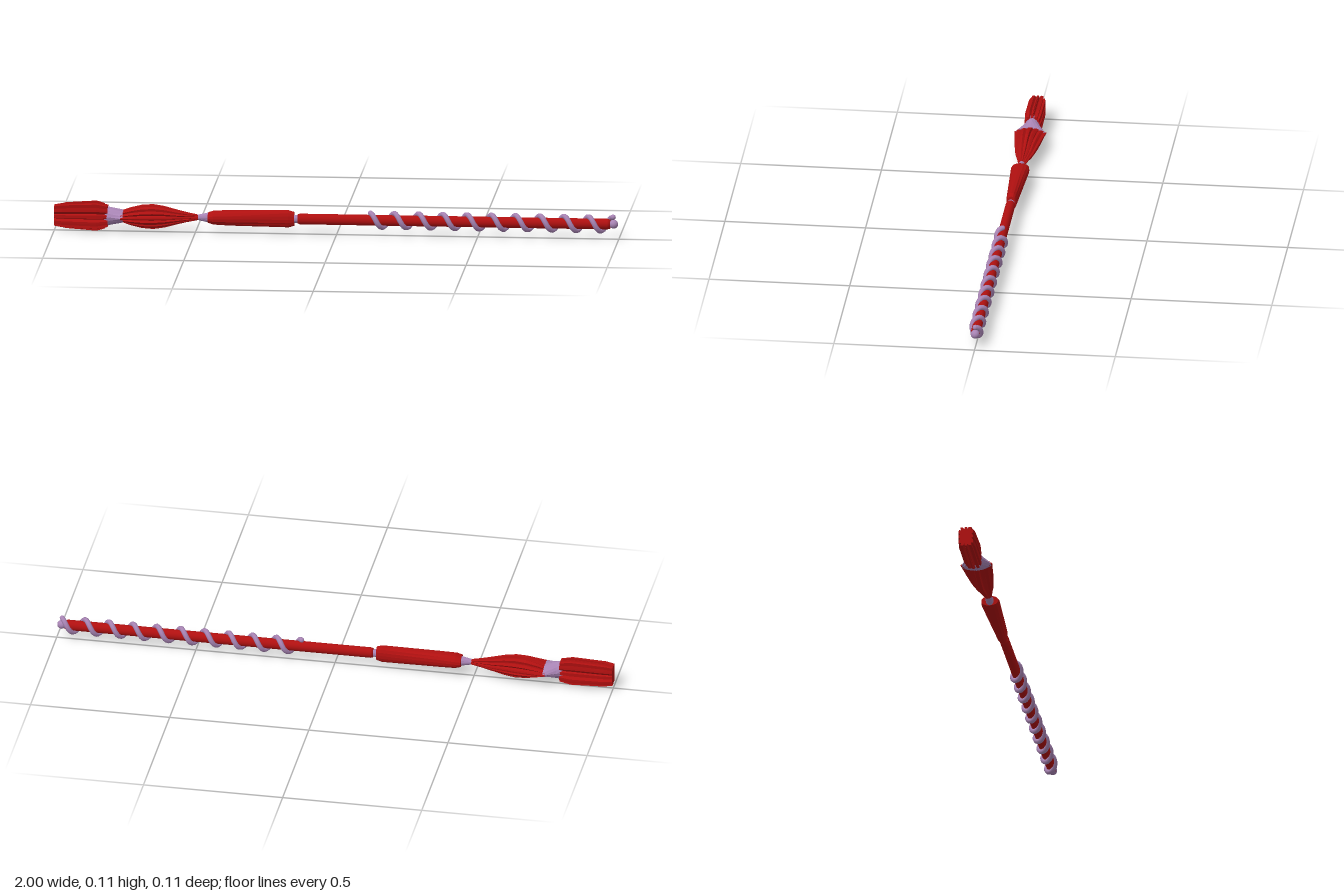
import * as THREE from 'three';
import { mergeVertices } from 'three/addons/utils/BufferGeometryUtils.js';

const red = new THREE.MeshStandardMaterial({ color: 0xb01010 });
const redFlat = new THREE.MeshStandardMaterial({ color: 0xb01010, flatShading: true });
const lilac = new THREE.MeshStandardMaterial({ color: 0xa884b4 });
const lilacFlat = new THREE.MeshStandardMaterial({ color: 0xa884b4, flatShading: true });

// Closed loft along +x. Rows are [x, half height, half depth];
// power 2 is an ellipse, larger is boxier, smaller is a pointed diamond.
function loft(rows, { sides = 48, power = 2, groove = 0 } = {}) {
  const pos = [], index = [];
  for (const [x, ry, rz] of rows) {
    for (let i = 0; i < sides; i++) {
      const a = (i / sides) * Math.PI * 2;
      const c = Math.cos(a), s = Math.sin(a);
      const k = Math.pow(Math.abs(c) ** power + Math.abs(s) ** power, -1 / power);
      const r = k * (i % 4 === 2 ? 1 - groove : 1);
      pos.push(x, c * r * ry, s * r * rz);
    }
  }
  for (let j = 0; j < rows.length - 1; j++) {
    for (let i = 0; i < sides; i++) {
      const n = (i + 1) % sides;
      const a = j * sides + i, b = j * sides + n;
      index.push(a, b, a + sides, b, b + sides, a + sides);
    }
  }
  // End caps
  const first = pos.length / 3, last = first + 1, top = (rows.length - 1) * sides;
  pos.push(rows[0][0], 0, 0, rows[rows.length - 1][0], 0, 0);
  for (let i = 0; i < sides; i++) {
    const n = (i + 1) % sides;
    index.push(first, n, i, last, top + i, top + n);
  }
  const g = new THREE.BufferGeometry();
  g.setAttribute('position', new THREE.Float32BufferAttribute(pos, 3));
  g.setIndex(index);
  const out = mergeVertices(g, 1e-6);
  out.computeVertexNormals();
  return out;
}

export function createModel() {
  const model = new THREE.Group();
  const shaft = new THREE.Group();
  shaft.name = 'staff';
  shaft.position.y = 0.054;
  model.add(shaft);
  const add = (name, geometry, material) => {
    const m = new THREE.Mesh(geometry, material);
    m.name = name;
    shaft.add(m);
    return m;
  };

  // Fluted boxy pommel with a thin ridge above and below
  add('pommel', loft([
    [-1, 0.036, 0.026], [-0.97, 0.041, 0.03], [-0.85, 0.046, 0.03], [-0.81, 0.038, 0.026],
  ], { power: 5, groove: 0.22 }), redFlat);
  const ridge = new THREE.Shape();
  ridge.moveTo(-0.99, -0.038);
  for (const [x, y] of [[-0.96, -0.046], [-0.85, -0.054], [-0.82, -0.045],
    [-0.82, 0.045], [-0.85, 0.054], [-0.96, 0.046], [-0.99, 0.038]]) ridge.lineTo(x, y);
  const ridgeGeo = new THREE.ExtrudeGeometry(ridge, { depth: 0.005, bevelEnabled: false });
  add('pommelRidge', ridgeGeo.translate(0, 0, -0.0025), redFlat);

  // Collar flaring from the pommel to the bulb
  add('collar', loft([
    [-0.83, 0.04, 0.02], [-0.8, 0.032, 0.032], [-0.755, 0.022, 0.056],
  ], { sides: 16, power: 1.6 }), lilacFlat);

  // Ribbed bulb, wide and flat at one end, swelling upward in the middle
  add('bulb', loft([
    [-0.762, 0.02, 0.057], [-0.73, 0.032, 0.053], [-0.69, 0.042, 0.049], [-0.65, 0.045, 0.044],
    [-0.61, 0.039, 0.038], [-0.57, 0.028, 0.032], [-0.53, 0.018, 0.022], [-0.49, 0.01, 0.013],
  ], { power: 1.5, groove: 0.2 }), redFlat);

  // Small neck between bulb and grip
  add('neck', loft([[-0.5, 0.008, 0.009], [-0.44, 0.021, 0.016]], { sides: 16 }), lilacFlat);

  // Grip, broad in depth near the bulb and slim near the rod
  add('grip', loft([
    [-0.455, 0.018, 0.03], [-0.435, 0.024, 0.033], [-0.38, 0.027, 0.03],
    [-0.17, 0.031, 0.019], [-0.15, 0.025, 0.016],
  ], { sides: 16, power: 2.3 }), redFlat);
  add('gripRing', loft([[-0.152, 0.014, 0.013], [-0.135, 0.014, 0.013]], { sides: 16 }), lilacFlat);

  // Long rod
  add('rod', loft([[-0.138, 0.016, 0.015], [-0.13, 0.019, 0.017],
    [0.96, 0.019, 0.017], [0.97, 0.016, 0.014]], { sides: 24 }), red);

  // Cord wound round the rod
  const turns = 10, points = [];
  for (let i = 0; i <= turns * 12; i++) {
    const a = (i / 12) * Math.PI * 2;
    points.push(new THREE.Vector3(0.12 + 0.86 * i / (turns * 12), 0.025 * Math.cos(a), 0.018 * Math.sin(a)));
  }
  const path = new THREE.CatmullRomCurve3(points);
  add('windingCord', new THREE.TubeGeometry(path, turns * 24, 0.0095, 8), lilac);
  for (const p of [points[0], points[points.length - 1]]) {
    add('cordEnd', new THREE.SphereGeometry(0.0095, 10, 8), lilac).position.copy(p);
  }
  add('tip', new THREE.SphereGeometry(0.016, 16, 12), lilac).position.x = 0.982;

  return model;
}
